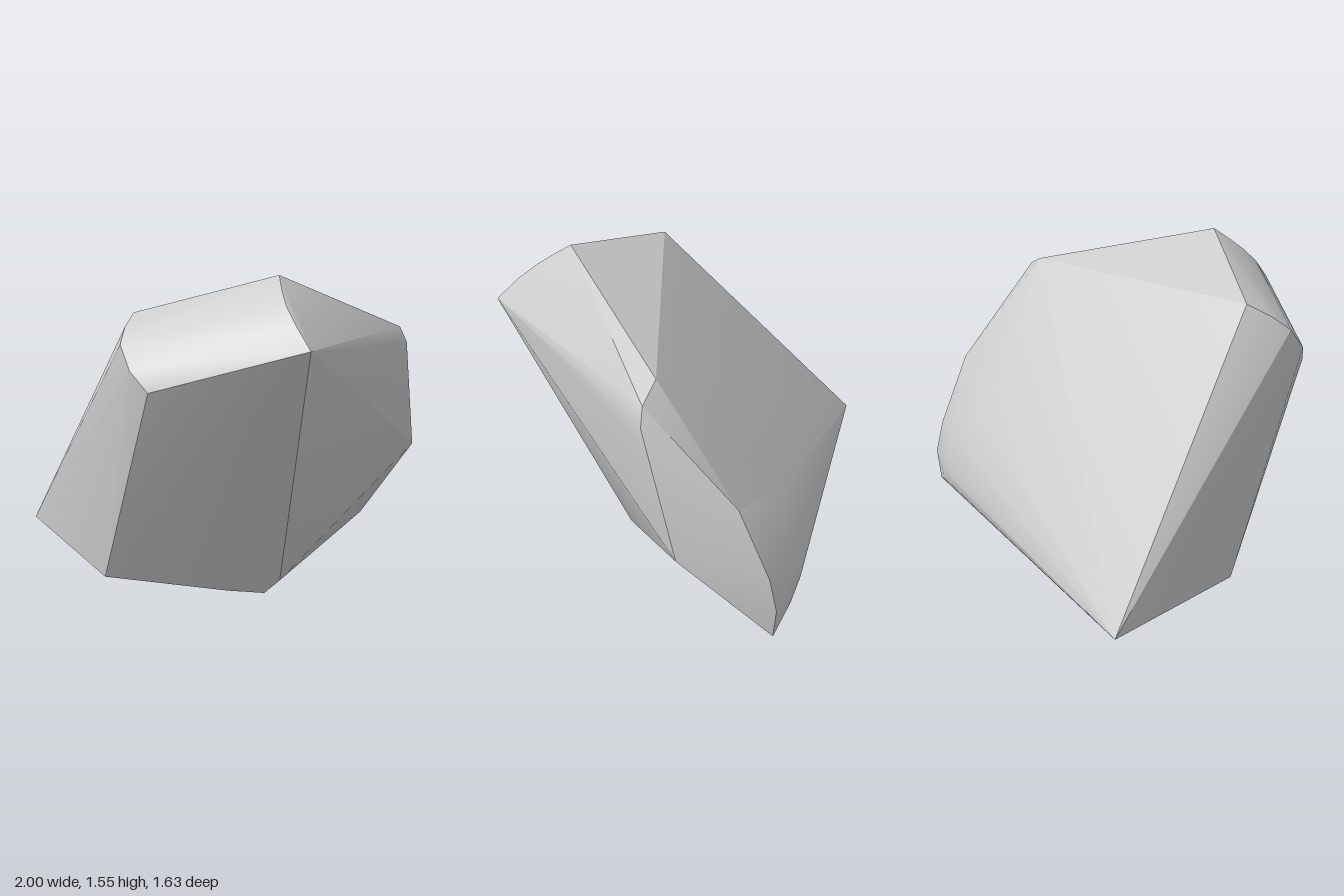
import * as THREE from 'three';
import { ConvexGeometry } from 'three/addons/geometries/ConvexGeometry.js';
import { toCreasedNormals } from 'three/addons/utils/BufferGeometryUtils.js';

// Corners of the boulder, grouped by region
const corners = [
  // upper front ridge, rounded from peak to nose
  [0.07, 1.55, 0.44], [0.06, 1.48, 0.54], [0.06, 1.42, 0.62], [0.08, 1.34, 0.715], [0.12, 1.24, 0.81],
  // rounded end of the ridge
  [-0.55, 1.38, 0.19], [-0.6, 1.32, 0.29], [-0.63, 1.25, 0.38], [-0.6, 1.14, 0.48], [-0.53, 1.05, 0.54],
  // upper shoulder and side point
  [0.72, 1.335, -0.185], [0.85, 1.28, -0.17], [0.89, 1.2, -0.175], [0.905, 1.12, -0.2], [1, 0.64, -0.36],
  // rounded back edge
  [0.835, 0.84, -0.58], [0.84, 0.5, -0.73], [0.85, 0.34, -0.77], [0.84, 0.18, -0.76],
  [0.4, 0.67, -0.69], [0.62, 0.53, -0.77], [0.6, 0.4, -0.81], [0.58, 0.32, -0.818], [0.68, 0.25, -0.8],
  // far tip and underside
  [-1, 0.24, -0.75], [-0.69, 0.11, 0.05], [-0.1, 0.02, 0.1], [0.08, 0, 0.11], [0.15, 0.07, 0.145],
];

export function createModel() {
  const group = new THREE.Group();
  group.name = 'rock';

  // Convex faceted stone; broad planes stay sharp, small bevels shade softly
  const hull = new ConvexGeometry(corners.map((p) => new THREE.Vector3(...p)));
  const boulder = new THREE.Mesh(
    toCreasedNormals(hull, 0.4),
    new THREE.MeshStandardMaterial({ color: 0xcccccc }),
  );
  boulder.name = 'boulder';
  group.add(boulder);
  return group;
}
